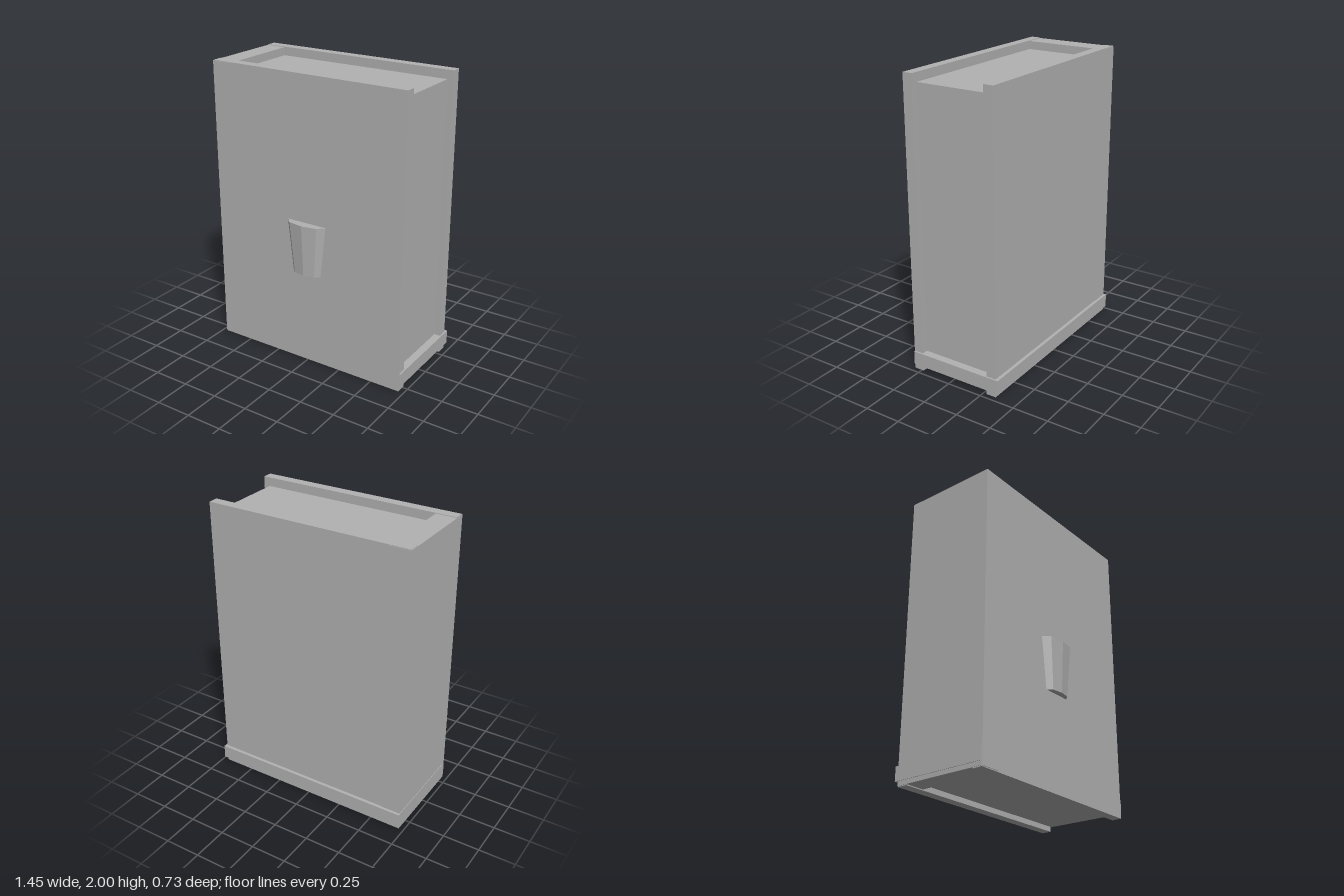
import * as THREE from 'three';

export function createModel() {
  const model = new THREE.Group();
  model.name = 'thickBook';
  const grey = new THREE.MeshStandardMaterial({ color: 0xb2b2b2 });
  grey.name = 'plain grey';

  // Box given by its low and high corners
  function box(name, [x0, y0, z0], [x1, y1, z1]) {
    const mesh = new THREE.Mesh(new THREE.BoxGeometry(x1 - x0, y1 - y0, z1 - z0), grey);
    mesh.position.set((x0 + x1) / 2, (y0 + y1) / 2, (z0 + z1) / 2);
    mesh.name = name;
    model.add(mesh);
  }

  // Covers, spine and the recessed page block
  box('frontCover', [-0.716, 0, 0.236], [0.712, 2, 0.305]);
  box('backCover', [-0.716, 0, -0.344], [0.712, 2, -0.275]);
  box('spine', [-0.719, 0.006, -0.347], [-0.576, 1.996, 0.309]);
  box('pages', [-0.6, 0.05, -0.28], [0.67, 1.94, 0.24]);

  // Band around the foot of the book
  box('footBand', [-0.723, 0.035, -0.366], [0.723, 0.13, 0.302]);

  // Faceted clasp on the front cover, narrowing downward
  const bottom = 0.66, height = 0.36;
  const outline = [[-0.148, 0], [-0.105, 0.045], [0, 0.062], [0.105, 0.045], [0.148, 0]];
  const shape = new THREE.Shape(outline.map(([x, z]) => new THREE.Vector2(x, -z)));
  const geometry = new THREE.ExtrudeGeometry(shape, { depth: height, bevelEnabled: false });
  geometry.rotateX(-Math.PI / 2);
  const p = geometry.attributes.position;
  for (let i = 0; i < p.count; i++) {
    const s = THREE.MathUtils.lerp(0.73, 1, p.getY(i) / height);
    p.setXYZ(i, p.getX(i) * s, p.getY(i), p.getZ(i) * s);
  }
  geometry.computeVertexNormals();
  const clasp = new THREE.Mesh(geometry, grey);
  clasp.name = 'clasp';
  clasp.position.set(0, bottom, 0.304);
  model.add(clasp);

  return model;
}
